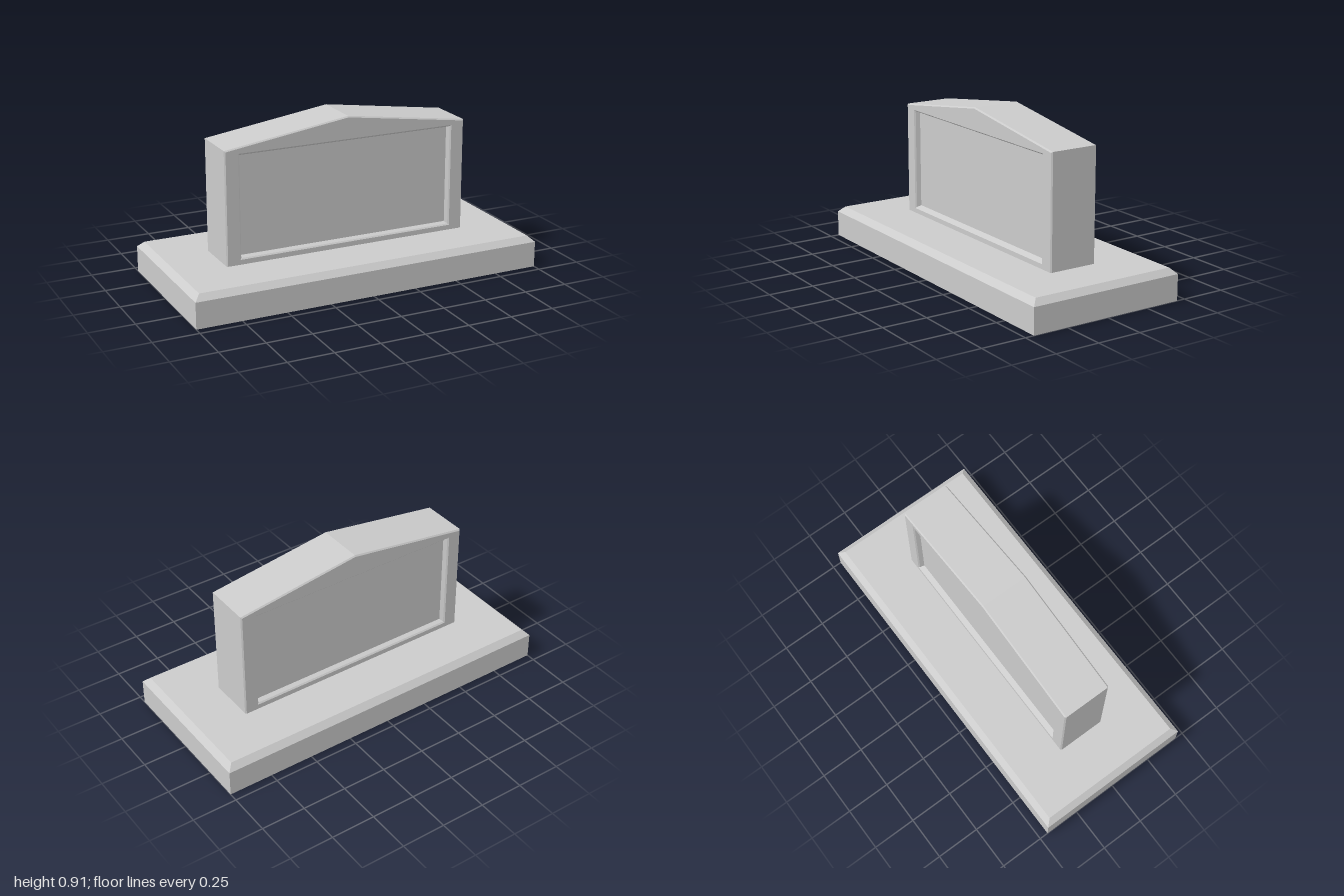
import * as THREE from 'three';

const material = new THREE.MeshStandardMaterial({ color: 0xcccccc, flatShading: true });

// Joins rectangular rings [halfWidth, halfHeight, z] and caps the last one (and the first if asked).
function rectLoft(rings, capStart) {
  const corners = rings.map(([w, h, z]) => [[-w, -h, z], [w, -h, z], [w, h, z], [-w, h, z]]);
  const positions = [];
  const quad = (a, b, c, d) => positions.push(...a, ...b, ...c, ...a, ...c, ...d);
  for (let r = 0; r < corners.length - 1; r++) {
    for (let i = 0; i < 4; i++) {
      const j = (i + 1) % 4;
      quad(corners[r][i], corners[r][j], corners[r + 1][j], corners[r + 1][i]);
    }
  }
  quad(...corners[corners.length - 1]);
  if (capStart) quad(...[...corners[0]].reverse());
  const geometry = new THREE.BufferGeometry();
  geometry.setAttribute('position', new THREE.Float32BufferAttribute(positions, 3));
  geometry.computeVertexNormals();
  return geometry;
}

function addMesh(group, name, geometry) {
  const mesh = new THREE.Mesh(geometry, material);
  mesh.name = name;
  group.add(mesh);
  return mesh;
}

export function createModel() {
  const group = new THREE.Group();
  group.name = 'monument';

  // Plinth with a chamfered top edge
  const plinth = rectLoft([[1, 0.45, 0], [1, 0.45, 0.145], [0.967, 0.417, 0.177]], true);
  plinth.rotateX(-Math.PI / 2);
  addMesh(group, 'plinth', plinth);

  // Gabled upright slab with a framed opening, all edges slightly bevelled
  const bevel = 0.007, halfDepth = 0.14;
  const openW = 0.622, openBottom = 0.211, openTop = 0.776;
  const outline = new THREE.Shape([
    [-0.706, 0.16], [0.706, 0.16], [0.706, 0.806], [0, 0.908], [-0.706, 0.806],
  ].map(([x, y]) => new THREE.Vector2(x, y)));
  outline.holes.push(new THREE.Path([
    [-openW, openBottom], [-openW, openTop], [openW, openTop], [openW, openBottom],
  ].map(([x, y]) => new THREE.Vector2(x, y))));
  const slab = new THREE.ExtrudeGeometry(outline, {
    depth: 2 * (halfDepth - bevel),
    bevelThickness: bevel, bevelSize: bevel, bevelOffset: -bevel, bevelSegments: 1,
  });
  slab.translate(0, 0, -(halfDepth - bevel));
  addMesh(group, 'slab', slab);

  // Recessed panels with sloping borders, front and back
  const openH = (openTop - openBottom) / 2;
  for (const [name, turn] of [['frontPanel', 0], ['backPanel', Math.PI]]) {
    const panel = rectLoft([
      [openW, openH, halfDepth - bevel],
      [openW - 0.009, openH - 0.009, halfDepth - 0.03],
    ], false);
    panel.rotateY(turn);
    addMesh(group, name, panel).position.y = (openTop + openBottom) / 2;
  }

  return group;
}
